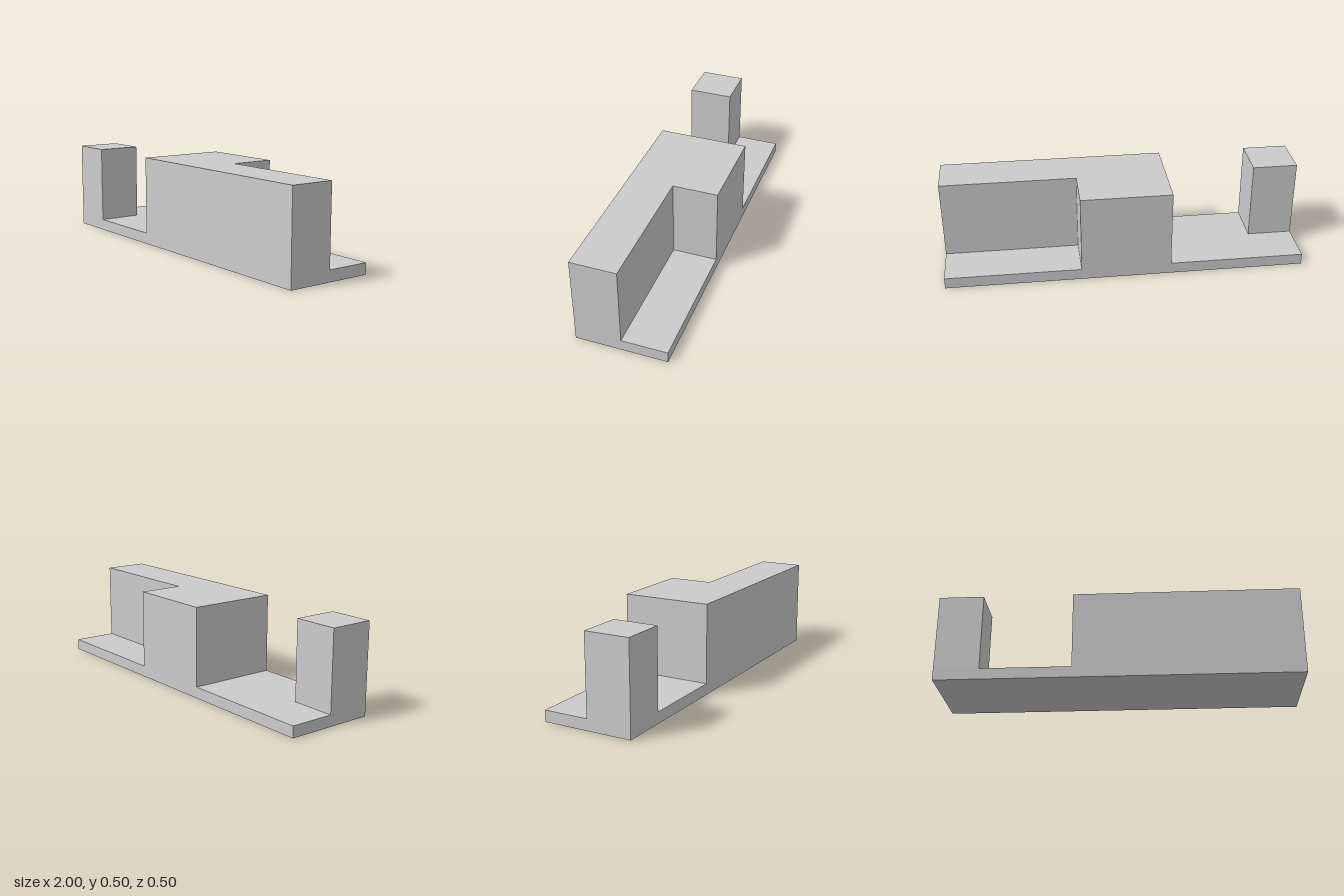
import * as THREE from 'three';

const BASE = 0.0625, TOP = 0.5;

// Extrudes a floor plan of [x, z] corners from height y0 up to y1
function prism(name, plan, y0, y1, material) {
  const shape = new THREE.Shape(plan.map(([x, z]) => new THREE.Vector2(x, -z)));
  const geometry = new THREE.ExtrudeGeometry(shape, { depth: y1 - y0, bevelEnabled: false });
  geometry.rotateX(-Math.PI / 2);
  geometry.translate(0, y0, 0);
  const mesh = new THREE.Mesh(geometry, material);
  mesh.name = name;
  return mesh;
}

const rect = (x0, x1, z0, z1) => [[x0, z1], [x1, z1], [x1, z0], [x0, z0]];

export function createModel() {
  const group = new THREE.Group();
  group.name = 'steppedBlock';
  const material = new THREE.MeshStandardMaterial({ color: 0xcccccc, flatShading: true });

  // Thin slab under everything
  group.add(prism('basePlate', rect(-1, 1, -0.25, 0.25), 0, BASE, material));

  // Square post at the front right corner
  group.add(prism('cornerPost', rect(-1, -0.75, 0, 0.25), BASE, TOP, material));

  // L-shaped block: full depth in the middle, half depth along the front
  const plan = [[-0.25, 0.25], [1, 0.25], [1, 0], [0.25, 0], [0.25, -0.25], [-0.25, -0.25]];
  group.add(prism('mainBlock', plan, BASE, TOP, material));

  return group;
}
